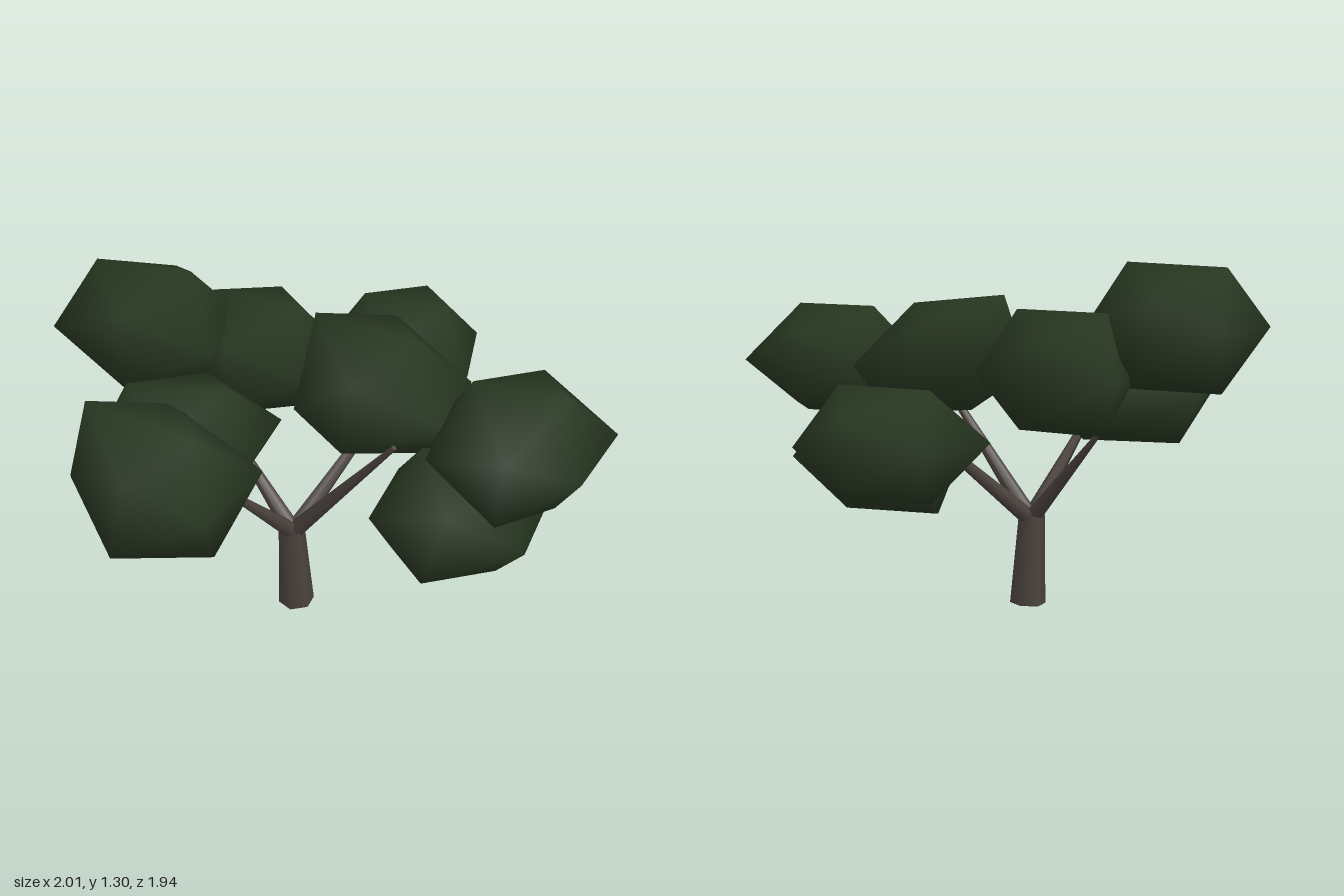
import * as THREE from 'three';
import { mergeVertices } from 'three/addons/utils/BufferGeometryUtils.js';

const bark = new THREE.MeshStandardMaterial({ color: 0x4a423d });
bark.name = 'bark';
const leaf = new THREE.MeshStandardMaterial({ color: 0x273620 });
leaf.name = 'leaf green';

// Tapered six-sided limb between two points
function limb(name, from, to, r0, r1) {
  const a = new THREE.Vector3(...from), b = new THREE.Vector3(...to);
  const dir = b.clone().sub(a);
  const mesh = new THREE.Mesh(new THREE.CylinderGeometry(r1, r0, dir.length(), 6), bark);
  mesh.position.copy(a).add(b).multiplyScalar(0.5);
  mesh.quaternion.setFromUnitVectors(new THREE.Vector3(0, 1, 0), dir.normalize());
  mesh.name = name;
  return mesh;
}

// Smooth-shaded 20-faced leaf clump. lean moves x and z with height, tilt moves
// y with x, skew moves z with x, taper widens x towards the front, and nudges
// shift single corners, keyed by the signs of their x, y and z
function clump(name, { at, half, lean = [0, 0], tilt = 0, skew = 0, taper = 0, nudges = {} }) {
  let geo = new THREE.IcosahedronGeometry(1, 0);
  geo.deleteAttribute('normal');
  geo.deleteAttribute('uv');
  geo = mergeVertices(geo, 1e-3);
  const p = geo.attributes.position;
  const reach = 0.8507; // extent of a unit icosahedron along each axis
  const sign = (v) => (v > 0.1 ? '+' : v < -0.1 ? '-' : '0');
  for (let i = 0; i < p.count; i++) {
    const [x, y, z] = [p.getX(i), p.getY(i), p.getZ(i)].map((v) => v / reach);
    const [dx, dy, dz] = nudges[sign(x) + sign(y) + sign(z)] ?? [0, 0, 0];
    p.setXYZ(i,
      half[0] * x * (1 + taper * z) + lean[0] * y + dx,
      half[1] * y + tilt * x + dy,
      half[2] * z + lean[1] * y + skew * x + dz);
  }
  geo.computeVertexNormals();
  const mesh = new THREE.Mesh(geo, leaf);
  mesh.position.set(...at);
  mesh.name = name;
  return mesh;
}

export function createModel() {
  const tree = new THREE.Group();
  tree.name = 'tree';

  // Trunk and four branches from one fork
  tree.add(limb('trunk', [-0.133, 0, 0.137], [-0.145, 0.35, 0.145], 0.067, 0.048));
  const fork = [-0.14, 0.32, 0.145];
  const branches = {
    rightBranch: [-0.45, 0.68, 0.04],
    frontBranch: [-0.25, 0.72, 0.52],
    leftBranch: [0.275, 0.825, 0.23],
    backBranch: [0.11, 0.74, -0.31],
  };
  for (const [name, tip] of Object.entries(branches)) {
    tree.add(limb(name, fork, tip, 0.034, 0.01));
  }

  // Leaf clumps
  const clumps = {
    topRightClump: {
      at: [-0.7, 1.07, 0.065], half: [0.283, 0.223, 0.275], lean: [-0.01, 0.01], taper: 0.16,
      nudges: { '--0': [-0.03, 0, 0], '0+-': [0, -0.03, 0.04], '-+0': [-0.015, -0.01, 0] },
    },
    frontClump: {
      at: [-0.405, 0.825, 0.695], half: [0.275, 0.235, 0.265], lean: [-0.03, -0.01], tilt: -0.035, taper: -0.08,
      nudges: {
        '-+0': [-0.05, 0, 0], '++0': [0, -0.035, 0], '+0-': [0, 0, -0.06], '-0-': [0, 0, -0.05],
        '-0+': [0, 0, -0.05], '+0+': [-0.03, 0, -0.02], '0-+': [-0.07, 0, 0], '0++': [0, -0.03, -0.03],
      },
    },
    frontRightClump: {
      at: [-0.455, 0.81, 0.375], half: [0.287, 0.205, 0.245], lean: [0, 0.02], skew: -0.06,
      nudges: { '-0+': [0.03, 0, 0], '-0-': [-0.01, 0, 0] },
    },
    backRightClump: {
      at: [-0.375, 0.915, -0.12], half: [0.267, 0.213, 0.265], lean: [0, 0.012], skew: 0.02,
      nudges: { '-0+': [0.04, 0, 0], '-0-': [-0.015, 0, -0.02], '++0': [0.02, 0, 0] },
    },
    middleClump: {
      at: [0.155, 0.932, 0.005], half: [0.28, 0.212, 0.28], lean: [-0.06, -0.01], tilt: -0.03,
      nudges: { '-0+': [0.01, -0.09, 0], '-+0': [-0.02, 0.005, 0], '0-+': [-0.09, 0, 0], '0+-': [0, 0, 0.01] },
    },
    topLeftClump: {
      at: [0.7, 0.88, 0.16], half: [0.288, 0.212, 0.303], lean: [0, -0.015], taper: -0.05,
      nudges: { '+0+': [-0.03, 0, -0.02], '++0': [-0.03, 0, 0], '+-0': [-0.04, 0, 0], '0++': [0, -0.06, -0.035] },
    },
    lowerLeftClump: {
      at: [0.483, 0.532, 0.105], half: [0.283, 0.225, 0.275], lean: [0.03, 0], tilt: -0.01,
      nudges: { '--0': [-0.05, 0, 0], '++0': [-0.02, -0.02, 0], '0--': [0, 0.03, 0], '0-+': [-0.03, 0.01, 0.02] },
    },
    backClump: { at: [0.024, 0.72, -0.685], half: [0.275, 0.19, 0.285], taper: 0.18 },
  };
  for (const [name, spec] of Object.entries(clumps)) tree.add(clump(name, spec));
  return tree;
}
